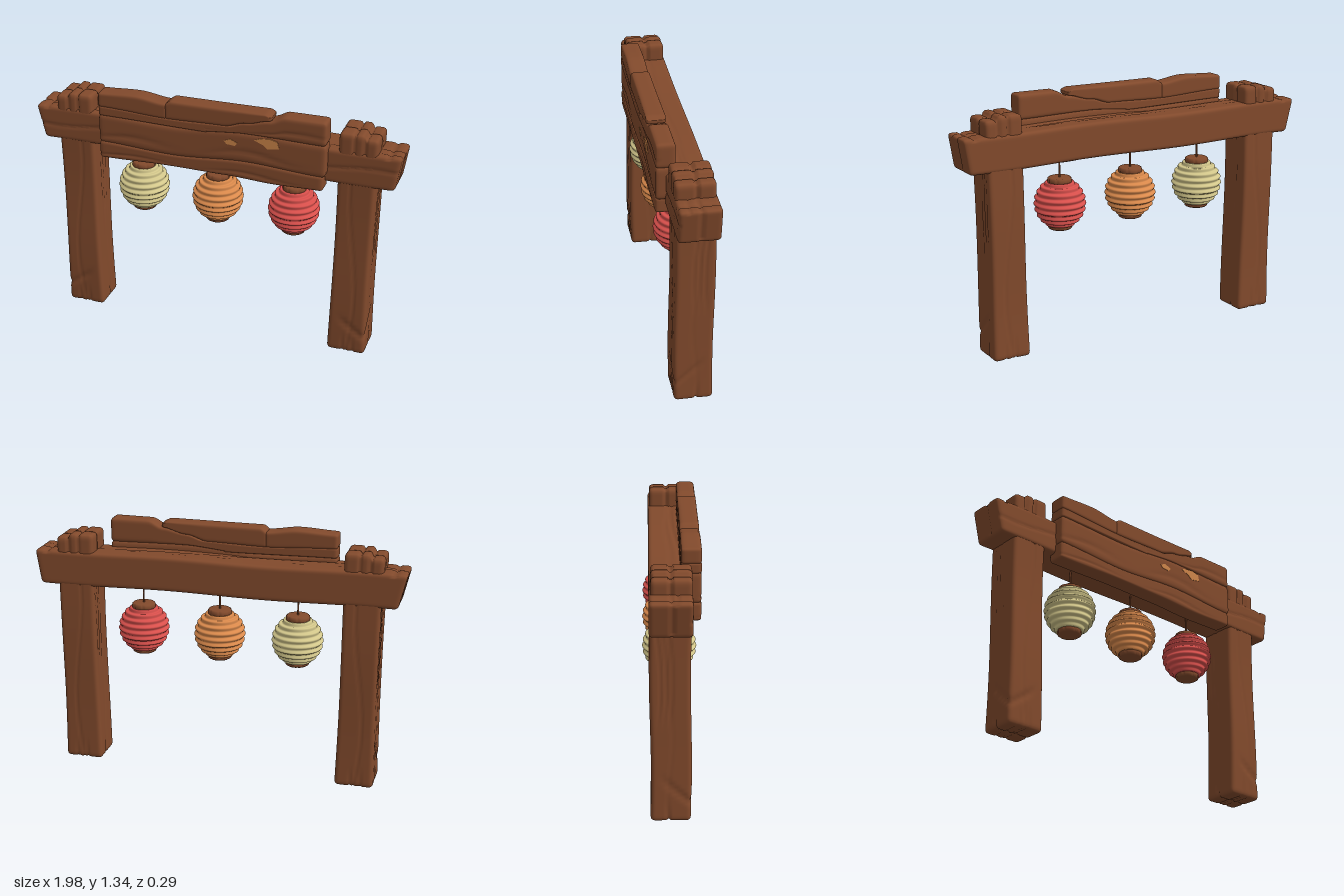
import * as THREE from 'three';
import { mergeVertices } from 'three/addons/utils/BufferGeometryUtils.js';

const flat = (name, color) => Object.assign(new THREE.MeshStandardMaterial({ color }), { name });
const clamp = THREE.MathUtils.clamp;
const smooth = THREE.MathUtils.smoothstep;

// Value at x on a polyline of [x, value] points
function along(pts, x) {
  if (x <= pts[0][0]) return pts[0][1];
  for (let i = 1; i < pts.length; i++) {
    const [x0, v0] = pts[i - 1], [x1, v1] = pts[i];
    if (x <= x1) return v0 + (v1 - v0) * smooth(x, x0, x1);
  }
  return pts[pts.length - 1][1];
}

// Soft V-shaped crack centred on d = 0
const crack = (d, width = 0.007) => Math.exp(-(d * d) / (width * width));

// Rounded timber: dent(p) carves grain inward, warp(p) bends the whole piece
function timber(size, segs, r, dent, warp) {
  let g = new THREE.BoxGeometry(...size, ...segs);
  g.deleteAttribute('uv');
  g.deleteAttribute('normal');
  g.clearGroups();
  g = mergeVertices(g);
  const pos = g.attributes.position;
  const p = new THREE.Vector3(), inner = new THREE.Vector3(), n = new THREE.Vector3();
  for (let i = 0; i < pos.count; i++) {
    p.fromBufferAttribute(pos, i);
    ['x', 'y', 'z'].forEach((a, k) => {
      const h = size[k] / 2, t = p[a] / h;
      p[a] = h * (0.5 * t + 0.5 * Math.sin(t * Math.PI / 2));  // denser near the edges
      inner[a] = clamp(p[a], -h + r, h - r);
    });
    n.subVectors(p, inner).normalize();
    p.copy(inner).addScaledVector(n, r);
    p.addScaledVector(n, -dent(p));
    warp(p);
    pos.setXYZ(i, p.x, p.y, p.z);
  }
  g.computeVertexNormals();
  return g;
}

export function createModel() {
  const model = new THREE.Group();
  const wood = flat('brown wood', 0x824a2c);
  const pale = flat('bare wood', 0xcd8549);
  const papers = [flat('cream paper', 0xd3c78b), flat('orange paper', 0xdb8a4c), flat('red paper', 0xd9504c)];

  const add = (name, geo, mat, parent = model) => {
    const m = new THREE.Mesh(geo, mat);
    m.name = name;
    parent.add(m);
    return m;
  };

  // Posts, split into blocks at the top and foot
  for (const s of [-1, 1]) {
    const H = 1.28;
    const dent = (p) => {
      const top = smooth(p.y, 0.42, 0.56), foot = smooth(-p.y, 0.5, 0.64);
      const side = Math.abs(p.x) > 0.08, w = 0.012 * Math.sin(p.y * 9);
      let d = (0.002 + 0.016 * top + 0.008 * foot) * crack(p.z + 0.005 + w * (1 - top));
      d += (0.014 * top + 0.006 * foot) * (crack(p.x * s - 0.035) + crack(p.x * s + 0.02));
      // curved grain on the broad sides and knots near the foot
      if (side) for (let k = 0; k < 3; k++)
        d += 0.005 * crack(p.z + 0.045 - k * 0.028 + 0.35 * (p.y - 0.1) ** 2, 0.006) * smooth(p.y, -0.15, 0) * (1 - top);
      d += 0.008 * crack(p.y + 0.38 + p.z * 0.9 + p.x * s * 0.7, 0.016) * smooth(p.z + p.x * s, 0.03, 0.1);
      d += 0.004 * crack(p.x * s + 0.03 * Math.sin(p.y * 5), 0.006) * (1 - top) * (side ? 0 : 1);
      return d;
    };
    const warp = (p) => {
      const y = p.y + H / 2;
      p.x *= 0.99 - 0.05 * Math.sin(Math.PI * y / H) + 0.02 * (y < 0.4 ? 1 - y / 0.4 : 0);
      p.x += s * (0.757 + 0.015 * y / H);
      p.z += -0.008 + 0.004 * Math.sin(y * 6);
      if (y > 1.2 && p.x * s > 0.81) p.y -= 0.018;
      p.y += H / 2 + 0.003;
    };
    add(s < 0 ? 'rightPost' : 'leftPost', timber([0.205, H, 0.2], [26, 60, 26], 0.022, dent, warp), wood);
  }

  // Cross beam with slanting ends
  const beamDent = (p) => {
    const end = smooth(Math.abs(p.x), 0.84, 0.97), flank = Math.abs(p.z) > 0.09;
    let d = (0.003 + 0.01 * end) * crack(p.z + 0.008 * Math.sin(p.x * 7)) * (p.y > -0.07 ? 1 : 0.3);
    if (flank && p.z > 0) d += 0.005 * crack(p.y - 0.015 * Math.sin(p.x * 9), 0.008);
    if (p.y > 0.08) d += 0.006 * crack(p.z - 0.04 + 0.02 * Math.sin(p.x * 4)) + 0.01 * crack(Math.abs(p.x) - 0.93, 0.01);
    return d;
  };
  add('crossBeam', timber([1.99, 0.185, 0.208], [90, 22, 24], 0.02, beamDent, (p) => {
    const slant = p.x < 0 ? 0.045 : 0.03;
    p.x -= Math.sign(p.x) * slant * smooth(Math.abs(p.x), 0.8, 1) * (0.5 - p.y / 0.185);
    p.y += 1.098 + 0.004 * Math.sin(p.x * 6);
    p.z -= 0.008;
  }), wood);

  // Sign board: planks given by their upper and lower edges
  const sign = new THREE.Group();
  sign.name = 'signBoard';
  model.add(sign);
  const plank = (name, x0, x1, top, bottom, grain) => {
    const w = x1 - x0, h = 0.1;
    const dent = (p) => grain * 0.005 * smooth(p.z, 0.02, 0.04)
      * crack(p.y + 0.022 - 0.009 * Math.sin((p.x + x0) * 11), 0.006) * (0.5 + 0.5 * Math.sin(p.x * 9 + x0));
    add(name, timber([w, h, 0.1], [50, 16, 8], 0.017, dent, (p) => {
      p.x += (x0 + x1) / 2;
      const b = along(bottom, p.x), t = along(top, p.x);
      p.y = b + (t - b) * (p.y / h + 0.5);
      p.z += 0.096;
    }), wood, sign);
  };
  plank('bottomPlank', -0.61, 0.61, [[-0.6, 1.062], [-0.2, 1.045], [0.2, 1.07], [0.6, 1.05]],
    [[-0.6, 0.965], [-0.2, 0.975], [0.1, 0.972], [0.35, 0.962], [0.6, 0.967]], 1);
  plank('middlePlank', -0.61, 0.62, [[-0.6, 1.215], [-0.2, 1.205], [0.2, 1.23], [0.6, 1.222]],
    [[-0.6, 1.055], [-0.2, 1.038], [0.2, 1.063], [0.6, 1.043]], 1);
  plank('thinPlank', -0.61, 0, [[-0.6, 1.262], [-0.2, 1.247], [0, 1.25]], [[-0.6, 1.207], [0, 1.2]], 0);
  plank('topRightPlank', -0.1, 0.62, [[-0.1, 1.25], [0.1, 1.255], [0.2, 1.285], [0.33, 1.312], [0.41, 1.345], [0.62, 1.346]],
    [[-0.1, 1.2], [0.2, 1.222], [0.62, 1.215]], 1);
  plank('topMiddlePlank', -0.24, 0.335, [[-0.24, 1.325], [-0.2, 1.345], [0.3, 1.346], [0.335, 1.335]],
    [[-0.24, 1.24], [0.08, 1.248], [0.2, 1.28], [0.335, 1.312]], 0);
  plank('topLeftPlank', -0.61, -0.225, [[-0.61, 1.335], [-0.4, 1.345], [-0.23, 1.325]],
    [[-0.61, 1.255], [-0.23, 1.24]], 0);

  // Bare patches where the bark has chipped off
  [[[0.246, 1.2], [0.28, 1.213], [0.33, 1.218], [0.37, 1.208], [0.38, 1.172], [0.32, 1.16], [0.295, 1.18]],
    [[0.085, 1.172], [0.12, 1.187], [0.158, 1.17], [0.145, 1.152], [0.1, 1.156]]].forEach((pts) => {
    const shape = new THREE.Shape(pts.map(([x, y]) => new THREE.Vector2(x, y)));
    add('barePatch', new THREE.ExtrudeGeometry(shape, { depth: 0.008, bevelEnabled: false }), pale, sign)
      .position.z = 0.14;
  });

  // Ribbed paper globe
  const ribs = [];
  for (let i = 0; i <= 72; i++) {
    const a = (i / 36 - 1) * 1.12;
    const r = 0.131 + 0.006 * Math.cos(a / 1.12 * Math.PI * 9);
    ribs.push(new THREE.Vector2(r * Math.cos(a), r * Math.sin(a)));
  }
  const globe = new THREE.LatheGeometry(ribs, 36);

  // Notched wooden cap
  const cap = new THREE.LatheGeometry([[0, -0.017], [0.055, -0.017], [0.062, -0.012], [0.064, 0],
    [0.062, 0.012], [0.055, 0.017], [0, 0.017]].map(([x, y]) => new THREE.Vector2(x, y)), 56);
  const cp = cap.attributes.position;
  for (let i = 0; i < cp.count; i++) {
    const notch = Math.cos(Math.atan2(cp.getZ(i), cp.getX(i)) * 7) > 0.9 ? 0.93 : 1;
    cp.setXYZ(i, cp.getX(i) * notch, cp.getY(i), cp.getZ(i) * notch);
  }
  cap.computeVertexNormals();
  const cord = new THREE.CylinderGeometry(0.005, 0.005, 0.13, 8);

  // Three hanging lanterns
  papers.forEach((paper, i) => {
    const lantern = new THREE.Group();
    lantern.name = 'lantern';
    lantern.position.set((i - 1) * 0.422, 0.77, -0.008);
    model.add(lantern);
    add('globe', globe, paper, lantern);
    add('topCap', cap, wood, lantern).position.y = 0.122;
    add('bottomCap', cap, wood, lantern).position.y = -0.12;
    add('cord', cord, wood, lantern).position.y = 0.195;
  });

  return model;
}
